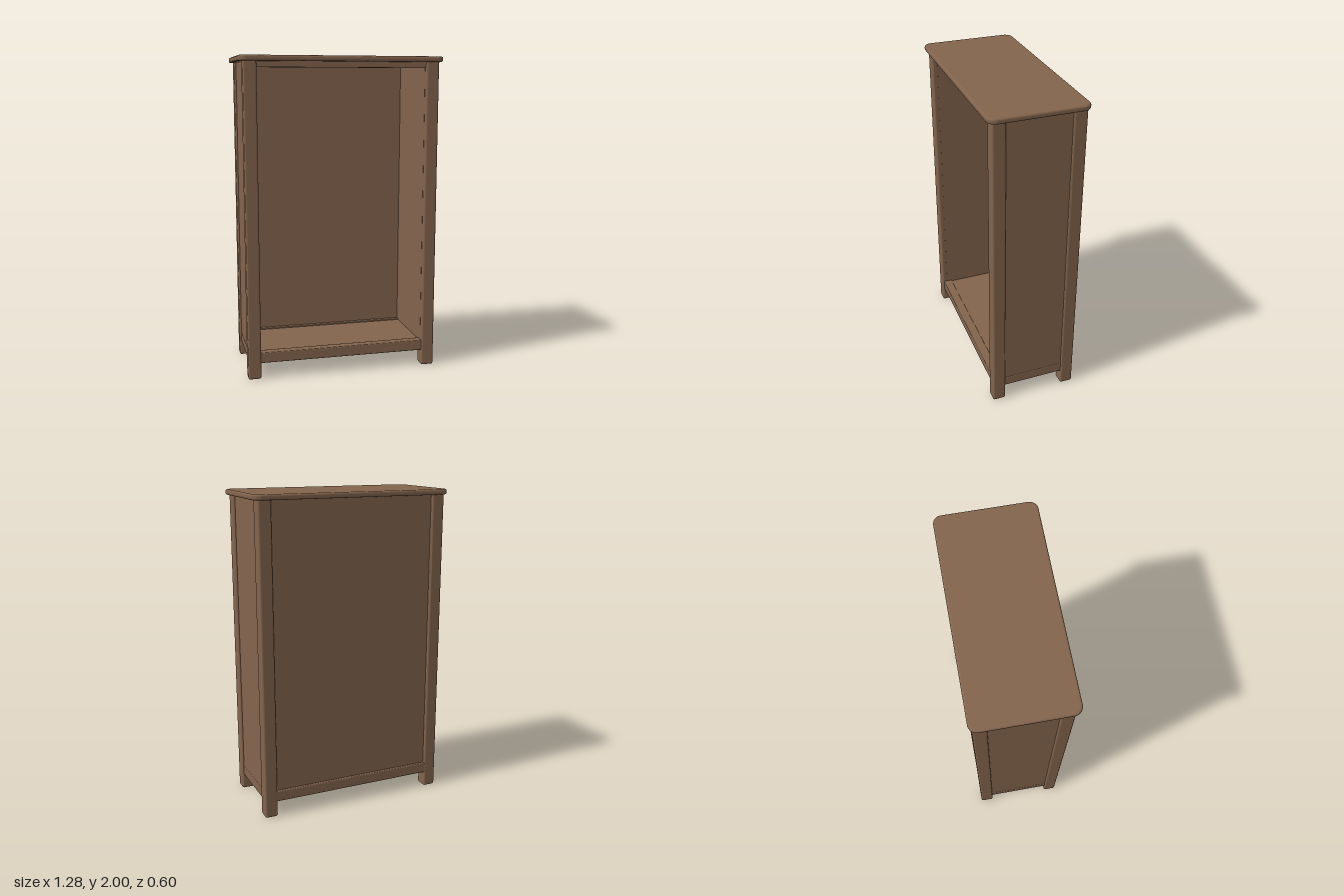
import * as THREE from 'three';
import { RoundedBoxGeometry } from 'three/addons/geometries/RoundedBoxGeometry.js';

export function createModel() {
  const group = new THREE.Group();
  group.name = 'openCabinet';
  const wood = new THREE.MeshStandardMaterial({ color: 0x82644d });
  wood.name = 'brown wood';

  const add = (name, geometry, x = 0, y = 0, z = 0) => {
    const mesh = new THREE.Mesh(geometry, wood);
    mesh.name = name;
    mesh.position.set(x, y, z);
    group.add(mesh);
  };
  // Board given by its limits on each axis, with softened edges if r > 0
  const board = (name, [x0, x1], [y0, y1], [z0, z1], r = 0) => {
    const size = [x1 - x0, y1 - y0, z1 - z0];
    const geometry = r ? new RoundedBoxGeometry(...size, 3, r) : new THREE.BoxGeometry(...size);
    add(name, geometry, (x0 + x1) / 2, (y0 + y1) / 2, (z0 + z1) / 2);
  };

  // Table top: rounded rectangle with a rounded edge all round
  const bevel = 0.012, w = 0.64 - bevel, d = 0.3 - bevel, r = 0.04;
  const outline = new THREE.Shape();
  outline.absarc(w - r, d - r, r, 0, Math.PI / 2);
  outline.absarc(-w + r, d - r, r, Math.PI / 2, Math.PI);
  outline.absarc(-w + r, -d + r, r, Math.PI, Math.PI * 1.5);
  outline.absarc(w - r, -d + r, r, Math.PI * 1.5, Math.PI * 2);
  outline.closePath();
  const top = new THREE.ExtrudeGeometry(outline, {
    depth: 0.034 - 2 * bevel, bevelEnabled: true, bevelThickness: bevel,
    bevelSize: bevel, bevelSegments: 4, curveSegments: 10,
  });
  top.rotateX(-Math.PI / 2);
  add('top', top, 0, 1.966 + bevel, 0);

  for (const s of [-1, 1]) {
    const side = s > 0 ? 'left' : 'right';
    const span = (a, b) => (s > 0 ? [a, b] : [-b, -a]);
    // Corner posts
    board(side + 'FrontLeg', span(0.53, 0.612), [0, 1.972], [0.19, 0.272], 0.012);
    board(side + 'BackLeg', span(0.53, 0.612), [0, 1.972], [-0.283, -0.2], 0.012);
    // Side panel, flush with the posts inside, and the rail below it
    board(side + 'Panel', span(0.529, 0.6), [0.135, 1.967], [-0.25, 0.24]);
    board(side + 'BottomRail', span(0.55, 0.602), [0.1, 0.165], [-0.24, 0.23], 0.006);
  }

  // Front and back rails
  board('frontBottomRail', [-0.56, 0.56], [0.1, 0.168], [0.205, 0.262], 0.006);
  board('backBottomRail', [-0.56, 0.56], [0.1, 0.168], [-0.281, -0.22], 0.006);
  board('frontTopRail', [-0.56, 0.56], [1.93, 1.967], [0.205, 0.255]);

  // Recessed floor and back
  board('floor', [-0.57, 0.57], [0.135, 0.16], [-0.25, 0.23]);
  board('backPanel', [-0.56, 0.56], [0.15, 1.967], [-0.262, -0.245]);

  return group;
}
